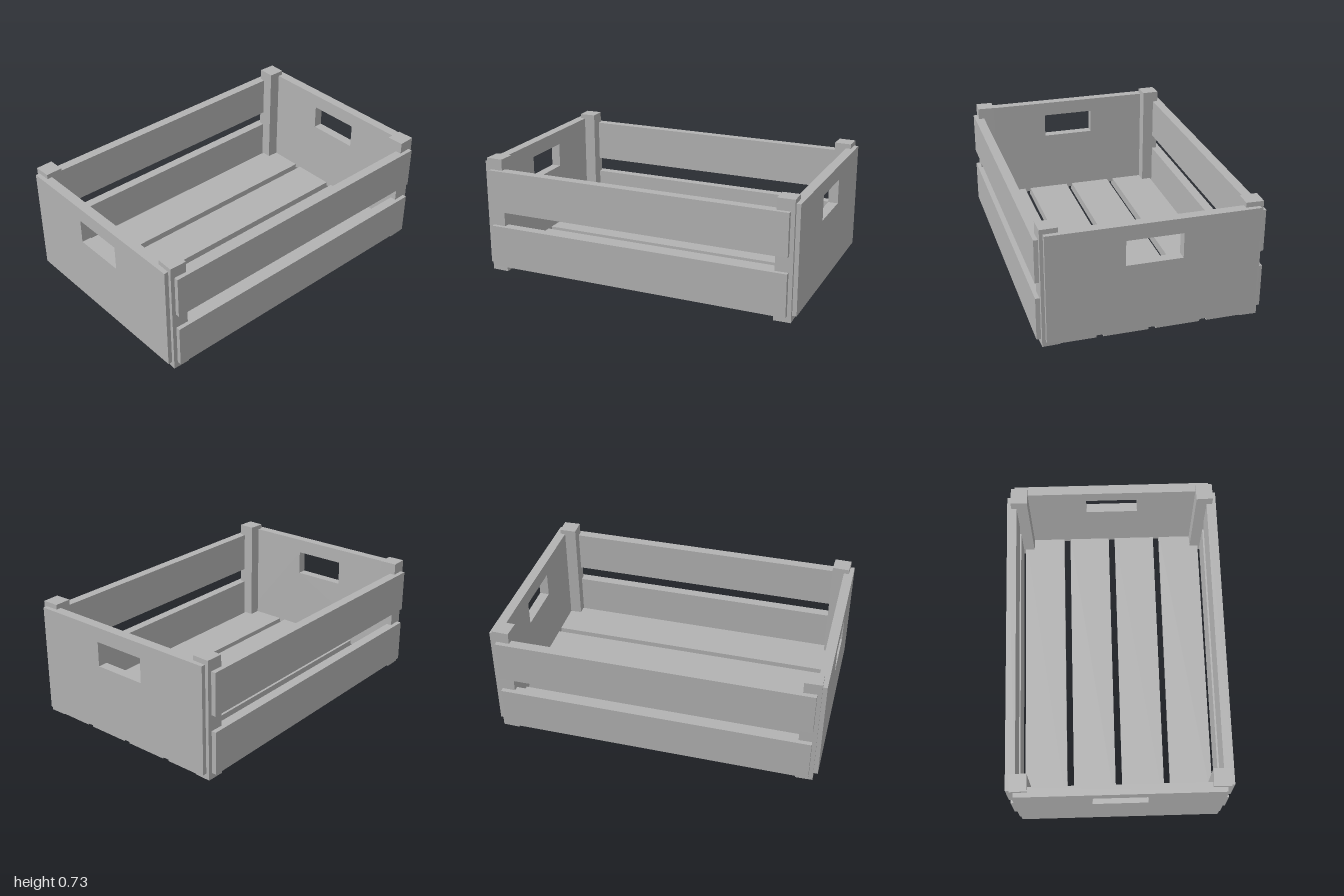
import * as THREE from 'three';

export function createModel() {
  const crate = new THREE.Group();
  crate.name = 'crate';
  const wood = new THREE.MeshStandardMaterial({ color: 0xb2b2b2 });
  wood.name = 'plain grey';

  // Box given by its lower and upper corners
  function board(name, [x0, y0, z0], [x1, y1, z1]) {
    const mesh = new THREE.Mesh(new THREE.BoxGeometry(x1 - x0, y1 - y0, z1 - z0), wood);
    mesh.position.set((x0 + x1) / 2, (y0 + y1) / 2, (z0 + z1) / 2);
    mesh.name = name;
    crate.add(mesh);
    return mesh;
  }

  // Four floor slats with gaps between them
  [-0.463, -0.155, 0.152, 0.458].forEach((z, i) =>
    board('floorSlat' + (i + 1), [-0.97, 0.003, z - 0.133], [0.97, 0.06, z + 0.133]));

  // Two slats along the front and two along the back
  for (const [side, z0, z1] of [['front', 0.605, 0.664], ['back', -0.667, -0.608]]) {
    board(side + 'LowerSlat', [-0.95, 0.037, z0], [0.95, 0.3, z1]);
    board(side + 'UpperSlat', [-0.95, 0.397, z0], [0.95, 0.657, z1]);
  }

  // Corner posts, each turned very slightly
  for (const sx of [-1, 1]) {
    for (const sz of [-1, 1]) {
      const name = (sz > 0 ? 'front' : 'back') + (sx > 0 ? 'Left' : 'Right') + 'Post';
      const post = board(name, [-0.052, 0, -0.052], [0.052, 0.727, 0.052]);
      post.position.x = sx * 0.921;
      post.position.z = sz * 0.587;
      post.rotation.y = sx * sz * 0.03;
    }
  }

  // End panels with a rectangular hand hole
  const outline = new THREE.Shape([[-0.617, 0.037], [0.617, 0.037], [0.617, 0.698], [-0.617, 0.698]]
    .map(([x, y]) => new THREE.Vector2(x, y)));
  outline.holes.push(new THREE.Path([[-0.166, 0.454], [-0.166, 0.607], [0.166, 0.607], [0.166, 0.454]]
    .map(([x, y]) => new THREE.Vector2(x, y))));
  const panelGeometry = new THREE.ExtrudeGeometry(outline, { depth: 0.06, bevelEnabled: false });
  for (const sx of [-1, 1]) {
    const panel = new THREE.Mesh(panelGeometry, wood);
    panel.name = sx > 0 ? 'leftEndPanel' : 'rightEndPanel';
    panel.rotation.y = sx * Math.PI / 2;
    panel.position.x = sx * 0.94;
    crate.add(panel);
  }
  return crate;
}
